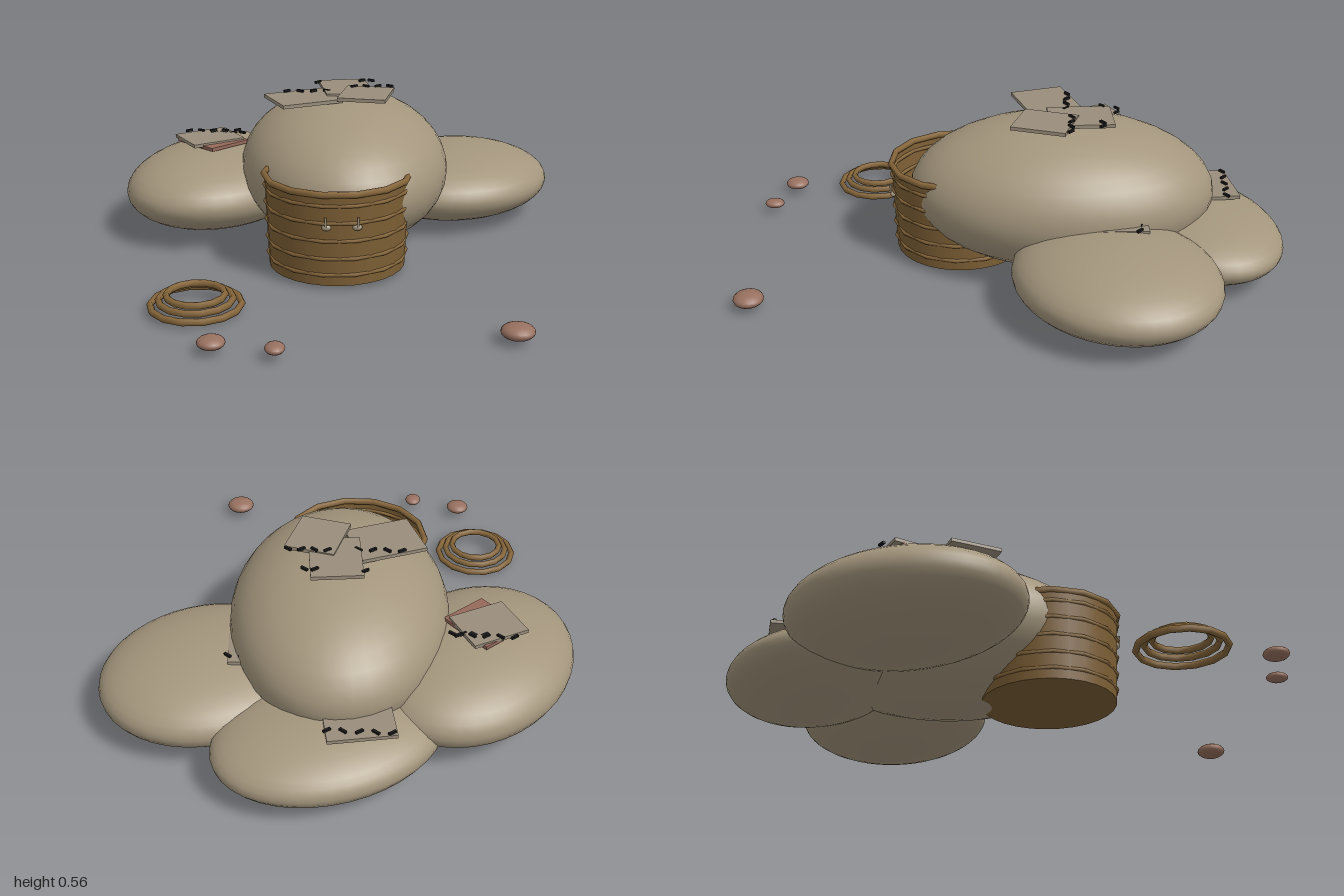
import * as THREE from 'three';

const mat = (name, color, side = THREE.FrontSide) => {
  const m = new THREE.MeshStandardMaterial({ color, side });
  m.name = name;
  return m;
};

export function createModel() {
  const root = new THREE.Group();
  root.name = 'sacksAndBasket';

  const cloth = mat('sackCloth', 0xa4967d);
  const patchCloth = mat('patchCloth', 0x9a8e7c);
  const redCloth = mat('redPatchCloth', 0x95695a);
  const wicker = mat('wicker', 0x7d5f35, THREE.DoubleSide);
  const hoopWood = mat('hoopWicker', 0x86663a);
  const thread = mat('thread', 0x1a1a1a);
  const clay = mat('clay', 0x97705f);

  const add = (name, geo, material, x, y, z, ry = 0, parent = root) => {
    const m = new THREE.Mesh(geo, material);
    m.name = name;
    m.position.set(x, y, z);
    m.rotation.y = ry;
    parent.add(m);
    return m;
  };
  const ellipsoid = (name, material, [x, y, z], [rx, ry, rz], rot = 0, seg = 40) =>
    add(name, new THREE.SphereGeometry(1, seg, seg / 2), material, x, y, z, rot).scale.set(rx, ry, rz);

  // Four overlapping soft sacks
  ellipsoid('mainSack', cloth, [0.005, 0.275, -0.195], [0.39, 0.268, 0.555], 0.03);
  ellipsoid('rightSack', cloth, [-0.47, 0.173, -0.325], [0.333, 0.155, 0.432], -0.52);
  ellipsoid('leftSack', cloth, [0.45, 0.147, -0.4], [0.393, 0.138, 0.346], 0.58);
  ellipsoid('backSack', cloth, [0.01, 0.13, -0.67], [0.412, 0.12, 0.302], 0.5);

  // Horizontal coil with a flat side towards the front
  const hoop = (name, r, tube, y, parent) => {
    const geo = new THREE.TorusGeometry(r, tube, 6, 14);
    geo.rotateX(Math.PI / 2);
    add(name, geo, hoopWood, 0, y, 0, 0, parent);
  };

  // Open basket
  const basket = new THREE.Group();
  basket.name = 'basket';
  basket.position.set(-0.033, 0, 0.178);
  root.add(basket);
  add('basketWall', new THREE.CylinderGeometry(0.258, 0.244, 0.335, 28, 1, true), wicker, 0, 0.1875, 0, 0, basket);
  const base = new THREE.CircleGeometry(0.244, 28);
  base.rotateX(Math.PI / 2);
  add('basketBase', base, wicker, 0, 0.02, 0, 0, basket);
  [0.06, 0.12, 0.185, 0.25, 0.312].forEach((y) => hoop('basketHoop', 0.245 + y * 0.042, 0.007, y, basket));
  hoop('basketRim', 0.259, 0.012, 0.352, basket);

  // Two little toggles on the basket front
  for (const x of [-0.077, 0.028]) {
    ellipsoid('toggle', cloth, [x, 0.235, 0.425], [0.017, 0.012, 0.012], 0, 12);
    add('toggleLoop', new THREE.CylinderGeometry(0.004, 0.004, 0.035, 8), cloth, x + Math.sign(x) * 0.003, 0.255, 0.434);
  }

  // Lid of three stacked coils
  const lid = new THREE.Group();
  lid.name = 'lid';
  lid.position.set(-0.51, 0, 0.58);
  root.add(lid);
  [[0.151, 0.031], [0.123, 0.049], [0.097, 0.065]].forEach(([r, y]) => hoop('lidCoil', r, 0.012, y, lid));

  // Pebbles in front
  ellipsoid('pebble', clay, [-0.44, 0.045, 0.905], [0.045, 0.021, 0.045], 0, 20);
  ellipsoid('pebble', clay, [-0.245, 0.045, 0.953], [0.032, 0.017, 0.038], 0, 20);
  ellipsoid('pebble', clay, [0.507, 0.046, 0.863], [0.055, 0.026, 0.053], 0, 20);

  // Patches lying on the sacks: [material, x, y, z, width, depth, turn]
  [
    [patchCloth, -0.15, 0.545, -0.13, 0.235, 0.197, 0.39],
    [patchCloth, 0.015, 0.552, -0.26, 0.18, 0.23, 0.12],
    [patchCloth, 0.085, 0.557, -0.135, 0.18, 0.2, -0.24],
    [redCloth, -0.5, 0.335, -0.31, 0.18, 0.21, 0.74],
    [patchCloth, -0.515, 0.342, -0.325, 0.21, 0.18, 0.5],
    [patchCloth, -0.09, 0.25, -0.74, 0.23, 0.18, 0.19],
    [patchCloth, 0.275, 0.277, -0.42, 0.2, 0.16, 0.1],
  ].forEach(([m, x, y, z, w, d, turn]) => add('patch', new THREE.BoxGeometry(w, 0.013, d), m, x, y, z, turn));

  // Rows of slanted stitches: [first x, last x, y, z, count]
  const stitch = new THREE.BoxGeometry(0.028, 0.009, 0.009);
  [
    [-0.21, -0.06, 0.556, -0.205, 4],
    [0.045, 0.18, 0.566, -0.23, 4],
    [-0.09, -0.09, 0.558, -0.335, 1],
    [0.08, 0.115, 0.562, -0.34, 2],
    [-0.6, -0.41, 0.351, -0.4, 5],
    [-0.5, -0.39, 0.345, -0.385, 4],
    [-0.2, 0.01, 0.26, -0.8, 5],
    [0.22, 0.37, 0.287, -0.475, 4],
  ].forEach(([x0, x1, y, z, n]) => {
    for (let i = 0; i < n; i++) {
      const x = n > 1 ? x0 + ((x1 - x0) * i) / (n - 1) : x0;
      add('stitch', stitch, thread, x, y, z, i % 2 ? -0.65 : 0.65);
    }
  });

  return root;
}
